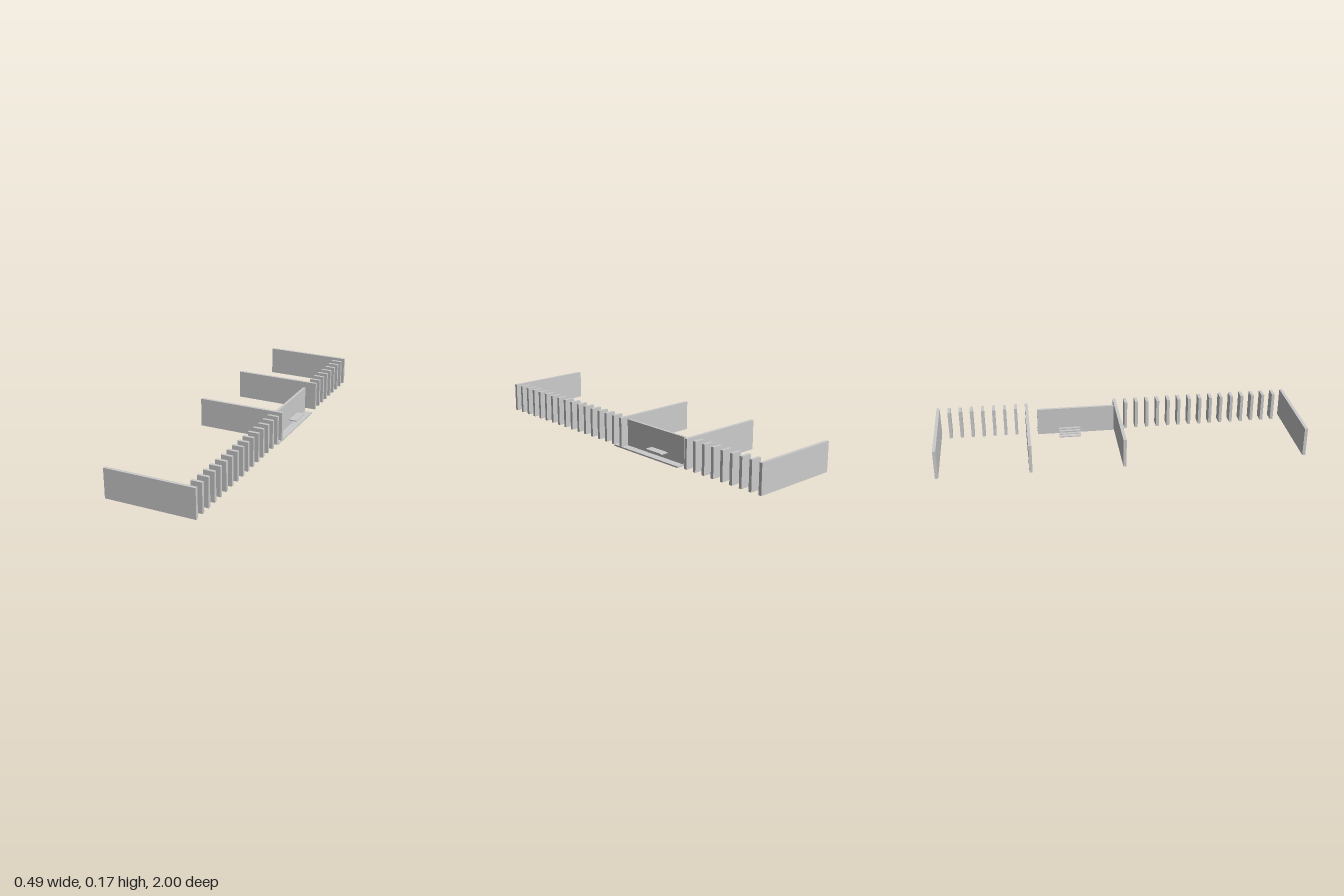
import * as THREE from 'three';

export function createModel() {
  const model = new THREE.Group();
  const material = new THREE.MeshStandardMaterial({ color: 0xcccccc, flatShading: true });

  // Box given by its extents along each axis
  function block(name, [x0, x1], [y0, y1], [z0, z1]) {
    const mesh = new THREE.Mesh(new THREE.BoxGeometry(x1 - x0, y1 - y0, z1 - z0), material);
    mesh.name = name;
    mesh.position.set((x0 + x1) / 2, (y0 + y1) / 2, (z0 + z1) / 2);
    model.add(mesh);
  }

  const outer = 0.247, inner = 0.187, half = 0.0085, pitch = 0.0617;
  const height = [0.008, 0.17];
  const around = z => [z - half, z + half];

  // Long cross walls
  const end = 1 - half;
  for (const z of [end, end - 16 * pitch, -end + 8 * pitch, -end]) {
    block('crossWall', [-outer, outer], height, around(z));
  }

  // Rows of facade fins between the walls
  for (let i = 1; i < 16; i++) block('frontFin', [inner, outer], height, around(end - i * pitch));
  for (let i = 1; i < 8; i++) block('rearFin', [inner, outer], height, around(-end + i * pitch));

  // Entrance floor slab and the recessed panel standing on it
  block('floorSlab', [inner, outer], [0, 0.008], [-0.44, 0.055]);
  block('recessedPanel', [inner, 0.202], [0.008, 0.155], [-0.44, -0.005]);

  // Counter shelf outside the panel
  const shelfZ = [-0.32, -0.198];
  block('counterShelf', [0.202, outer], [0.039, 0.045], shelfZ);

  // Treads stepping down behind the panel
  const tread = 0.0163;
  for (let i = 0; i < 4; i++) {
    const x = inner - i * tread, y = 0.035 - i * 0.008;
    block('tread', [x - tread, x], [y - 0.005, y], shelfZ);
  }
  return model;
}
